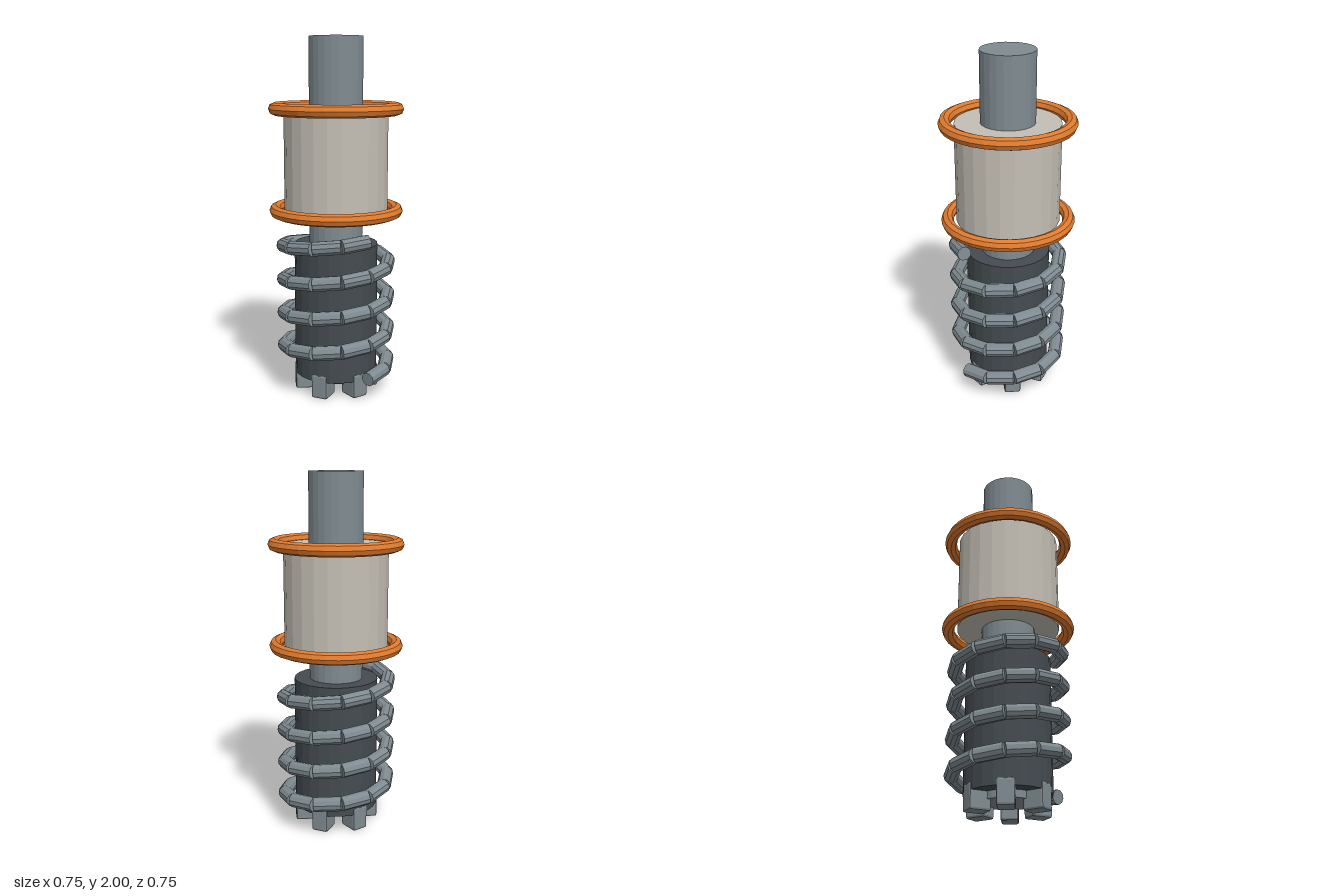
import * as THREE from 'three';
import { RoundedBoxGeometry } from 'three/addons/geometries/RoundedBoxGeometry.js';

const paint = (color) => new THREE.MeshStandardMaterial({ color, flatShading: true });

export function createModel() {
  const model = new THREE.Group();
  model.name = 'springPlunger';
  const steel = paint(0x7f8b91);
  const dark = paint(0x444b50);
  const pale = paint(0xc4bfb5);
  const orange = paint(0xe07b2f);

  const add = (name, geometry, material, parent = model) => {
    const mesh = new THREE.Mesh(geometry, material);
    mesh.name = name;
    parent.add(mesh);
    return mesh;
  };

  // Upright cylinder between two heights
  const column = (name, radius, y0, y1, material) => {
    const mesh = add(name, new THREE.CylinderGeometry(radius, radius, y1 - y0, 24), material);
    mesh.position.y = (y0 + y1) / 2;
  };
  column('shaft', 0.15, 0.06, 2, steel);
  column('core', 0.236, 0.1, 0.855, dark);
  column('sleeve', 0.29, 1.045, 1.61, pale);

  // Rings around both ends of the sleeve
  for (const [name, y] of [['lowerRing', 1.045], ['upperRing', 1.61]]) {
    const ring = add(name, new THREE.TorusGeometry(0.34, 0.035, 8, 32), orange);
    ring.rotation.x = Math.PI / 2;
    ring.position.y = y;
  }

  // Spring: four turns of straight rods, twelve per turn
  const spring = new THREE.Group();
  spring.name = 'spring';
  model.add(spring);
  const turns = 4, perTurn = 12, count = turns * perTurn;
  const coilPoint = (i) => {
    const a = (i / perTurn) * Math.PI * 2;
    return new THREE.Vector3(0.3 * Math.cos(a), 0.127 + 0.783 * i / count, -0.3 * Math.sin(a));
  };
  const up = new THREE.Vector3(0, 1, 0);
  const rodLength = coilPoint(0).distanceTo(coilPoint(1));
  const rodGeometry = new THREE.CylinderGeometry(0.04, 0.04, rodLength, 10);
  for (let i = 0; i < count; i++) {
    const a = coilPoint(i), b = coilPoint(i + 1);
    const rod = add('springRod', rodGeometry, steel, spring);
    rod.position.copy(a).lerp(b, 0.5);
    rod.quaternion.setFromUnitVectors(up, b.sub(a).normalize());
  }

  // Six bevelled teeth around the foot
  const toothGeometry = new RoundedBoxGeometry(0.12, 0.14, 0.095, 1, 0.012);
  for (let i = 0; i < 6; i++) {
    const a = (i / 6) * Math.PI * 2;
    const tooth = add('tooth', toothGeometry, steel);
    tooth.position.set(0.177 * Math.cos(a), 0.07, -0.177 * Math.sin(a));
    tooth.rotation.y = a;
  }
  return model;
}
